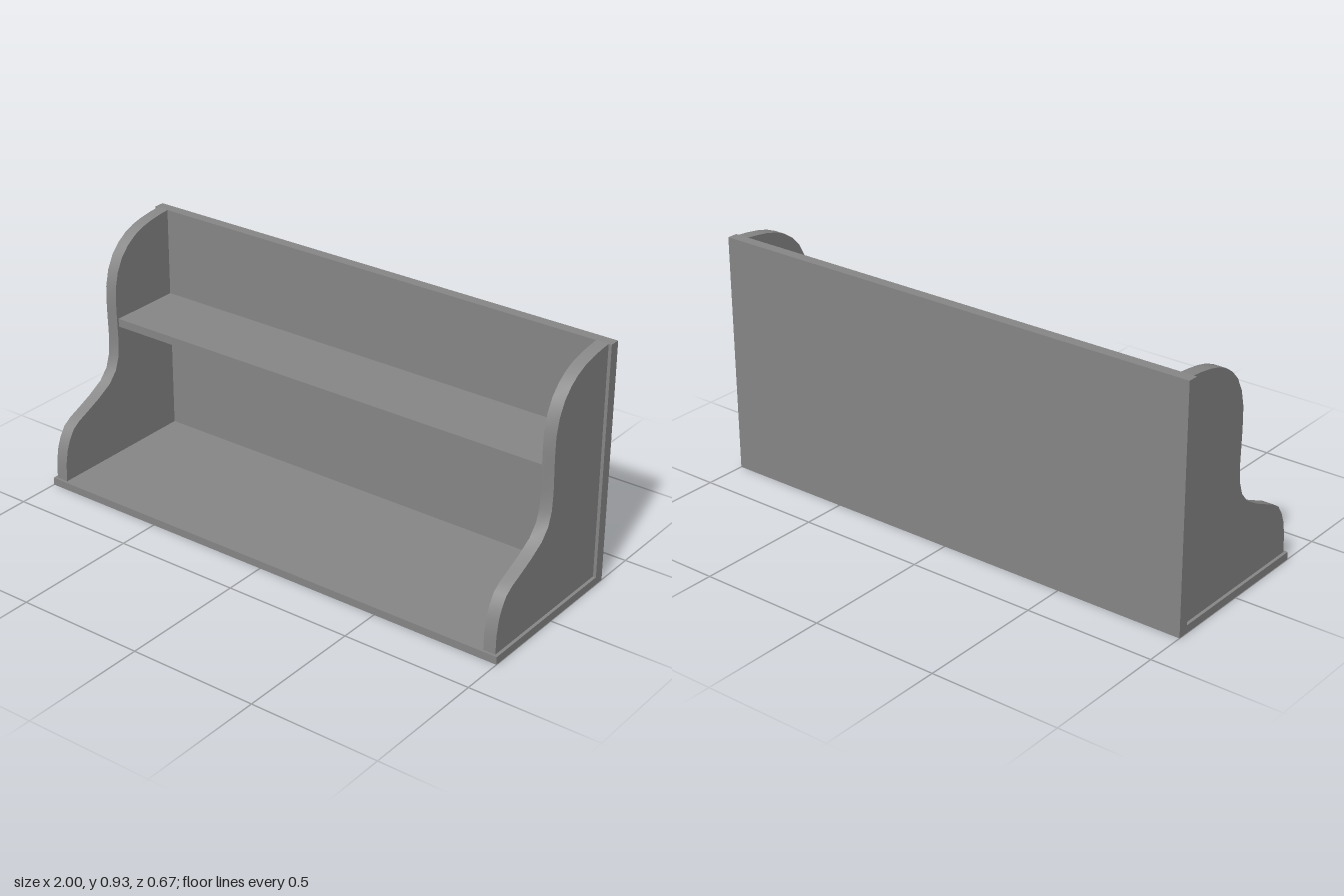
import * as THREE from 'three';
import { toCreasedNormals } from 'three/addons/utils/BufferGeometryUtils.js';

const material = new THREE.MeshStandardMaterial({ color: 0x878787 });

// Board given by its min and max corners
function board(name, [x0, y0, z0], [x1, y1, z1]) {
  const mesh = new THREE.Mesh(new THREE.BoxGeometry(x1 - x0, y1 - y0, z1 - z0), material);
  mesh.position.set((x0 + x1) / 2, (y0 + y1) / 2, (z0 + z1) / 2);
  mesh.name = name;
  return mesh;
}

const INNER = 0.94, THICK = 0.048, BACK = -0.294, BASE = 0.03, TOP = 0.93;

// Scrolled front edge of the side panels, as (z, y) from bottom to top
const EDGE = [
  [0.325, BASE], [0.323, 0.1], [0.313, 0.155], [0.298, 0.193], [0.274, 0.23], [0.24, 0.253],
  [0.2, 0.27], [0.13, 0.302], [0.067, 0.338], [0.03, 0.38], [0.013, 0.43], [0.008, 0.5],
  [0.012, 0.63], [0.01, 0.71], [-0.005, 0.773], [-0.032, 0.825], [-0.067, 0.862],
  [-0.107, 0.889], [-0.15, 0.907], [-0.2, 0.919], [-0.25, 0.926], [BACK, TOP],
].map(([z, y]) => new THREE.Vector2(z, y));

function sidePanelGeometry() {
  const shape = new THREE.Shape([new THREE.Vector2(BACK, BASE), ...EDGE]);
  const geometry = new THREE.ExtrudeGeometry(shape, { depth: THICK, bevelEnabled: false });
  geometry.translate(0, 0, -THICK / 2);
  geometry.rotateY(-Math.PI / 2); // profile x becomes z
  return toCreasedNormals(geometry, 0.6);
}

export function createModel() {
  const group = new THREE.Group();
  group.name = 'wallShelf';

  // Base, back and middle shelf
  group.add(
    board('baseBoard', [-1, 0, BACK], [1, BASE, 0.335]),
    board('backBoard', [-1, 0, -0.335], [1, TOP, BACK]),
    board('middleShelf', [-INNER, 0.554, BACK], [INNER, 0.586, 0.002]),
  );

  // Pair of scrolled side panels
  const geometry = sidePanelGeometry();
  for (const [name, side] of [['leftSidePanel', 1], ['rightSidePanel', -1]]) {
    const panel = new THREE.Mesh(geometry, material);
    panel.name = name;
    panel.position.x = side * (INNER + THICK / 2);
    group.add(panel);
  }
  return group;
}
